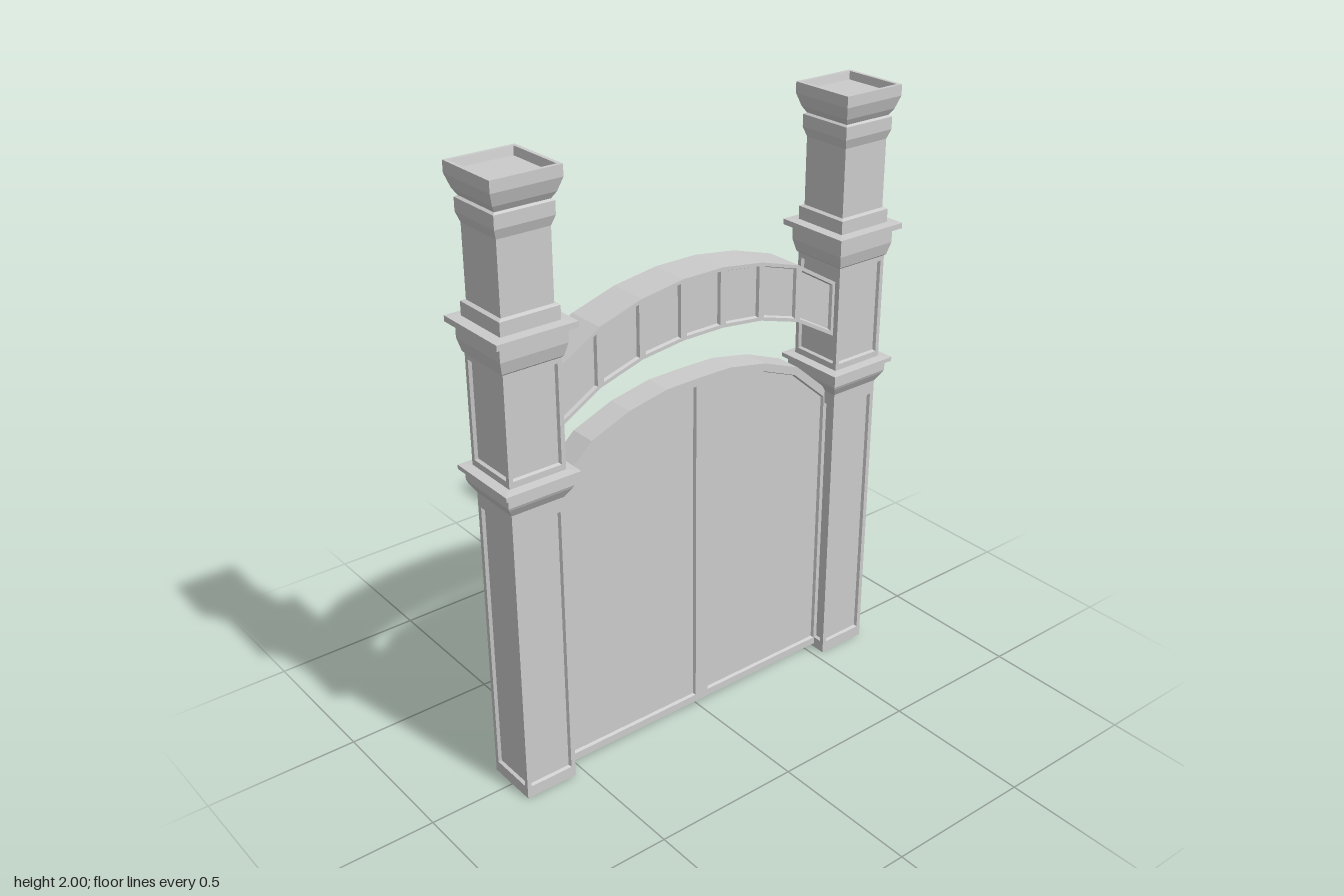
import * as THREE from 'three';

const material = new THREE.MeshStandardMaterial({ color: 0xcccccc, flatShading: true });

function addMesh(parent, geometry, name) {
  const mesh = new THREE.Mesh(geometry, material);
  mesh.name = name;
  parent.add(mesh);
  return mesh;
}

// Skin over loops of equal point count, ordered back to front, counter-clockwise from +z
function loft(loops, capStart) {
  const v = [];
  const n = loops[0].length;
  const tri = (...points) => points.forEach((p) => v.push(...p));
  const centre = (loop) => [0, 1, 2].map((k) => loop.reduce((s, p) => s + p[k], 0) / n);
  const first = loops[0], last = loops[loops.length - 1];
  for (let j = 0; j < n; j++) {
    const k = (j + 1) % n;
    for (let i = 0; i + 1 < loops.length; i++) {
      const a = loops[i], b = loops[i + 1];
      tri(a[j], a[k], b[k]);
      tri(a[j], b[k], b[j]);
    }
    if (capStart) tri(centre(first), first[k], first[j]);
    tri(centre(last), last[j], last[k]);
  }
  const g = new THREE.BufferGeometry();
  g.setAttribute('position', new THREE.Float32BufferAttribute(v, 3));
  g.computeVertexNormals();
  return g;
}

// Shrink a convex counter-clockwise outline by w
function inset(points, w) {
  const n = points.length;
  const normal = (a, b) => {
    const l = Math.hypot(b[0] - a[0], b[1] - a[1]);
    return [(a[1] - b[1]) / l, (b[0] - a[0]) / l];
  };
  return points.map((p, i) => {
    const m = normal(points[(i + n - 1) % n], p);
    const q = normal(p, points[(i + 1) % n]);
    const s = w / (1 + m[0] * q[0] + m[1] * q[1]);
    return [p[0] + (m[0] + q[0]) * s, p[1] + (m[1] + q[1]) * s];
  });
}

const atZ = (points, z) => points.map(([x, y]) => [x, y, z]);

// Loops of a frame at depth z around a panel sunk to zDeep
function frameLoops(outline, border, z, zDeep) {
  return [atZ(outline, z), atZ(inset(outline, border), z), atZ(inset(outline, border + 0.004), zDeep)];
}

// Slab with a sunk panel on the front and, if wanted, on the back
function panelSlab(outline, border, half, depth, panelBack) {
  const front = frameLoops(outline, border, half, half - depth);
  const back = panelBack ? frameLoops(outline, border, -half, -half + depth).reverse() : [atZ(outline, -half)];
  return loft([...back, ...front], true);
}

// Square mouldings from a profile of [half width, height], bottom to top
function squareLathe(profile) {
  const points = profile.map(([r, y]) => new THREE.Vector2(r * Math.SQRT2, y));
  return new THREE.LatheGeometry(points, 4, Math.PI / 4).toNonIndexed();
}

// Four sunk-panel faces of a square shaft
function addShaft(parent, half, y0, y1, bottom, top, border, name) {
  const outline = [[-half, y0], [half, y0], [half, y1], [-half, y1]];
  const hole = [[-half + border, bottom], [half - border, bottom], [half - border, top], [-half + border, top]];
  const face = loft([atZ(outline, half), atZ(hole, half), atZ(inset(hole, 0.004), half - 0.01)], false);
  for (let i = 0; i < 4; i++) addMesh(parent, face, name).rotation.y = i * Math.PI / 2;
}

function createPillar() {
  const pillar = new THREE.Group();
  addMesh(pillar, squareLathe([[0, 0], [0.09, 0]]), 'pillarFoot');
  addShaft(pillar, 0.09, 0, 1.01, 0.04, 0.965, 0.015, 'lowerShaft');
  addMesh(pillar, squareLathe([
    [0.09, 1.01], [0.108, 1.04], [0.112, 1.05], [0.112, 1.08], [0.127, 1.083], [0.127, 1.097], [0.096, 1.1],
  ]), 'lowerMoulding');
  addShaft(pillar, 0.096, 1.1, 1.45, 1.12, 1.435, 0.014, 'middleShaft');
  addMesh(pillar, squareLathe([
    [0.096, 1.45], [0.101, 1.455], [0.111, 1.495], [0.111, 1.54], [0.132, 1.542], [0.132, 1.56],
    [0.098, 1.562], [0.098, 1.605], [0.086, 1.61],
  ]), 'middleMoulding');
  addMesh(pillar, squareLathe([
    [0.086, 1.61], [0.086, 1.83], [0.096, 1.86], [0.096, 1.9], [0.088, 1.905],
  ]), 'upperShaft');
  // Cap with a sunk top
  addMesh(pillar, squareLathe([
    [0.088, 1.905], [0.1, 1.925], [0.113, 1.965], [0.113, 2], [0.101, 2], [0.096, 1.975], [0, 1.975],
  ]), 'pillarCap');
  return pillar;
}

function createArch() {
  const arch = new THREE.Group();
  arch.name = 'arch';
  arch.position.z = 0.003;
  const half = [[0.075, 1.558, 1.365], [0.227, 1.536, 1.347], [0.378, 1.49, 1.302], [0.535, 1.396, 1.212]];
  const joints = [...half.map(([x, t, b]) => [-x, t, b]).reverse(), ...half];
  for (let i = 0; i + 1 < joints.length; i++) {
    const [x0, t0, b0] = joints[i], [x1, t1, b1] = joints[i + 1];
    addMesh(arch, panelSlab([[x0, b0], [x1, b1], [x1, t1], [x0, t0]], 0.011, 0.066, 0.01, true), 'archBlock');
  }
  return arch;
}

function createDoors() {
  const doors = new THREE.Group();
  doors.name = 'doors';
  const seam = 0.018;
  // Half of the curved top, from the outer edge to the seam
  const curve = [[0.545, 1.0], [0.4, 1.128], [0.262, 1.182], [0.12, 1.21], [0, 1.212]];
  const right = [[-0.54, 0.015], [seam, 0.015], [seam, 1.212], ...curve.slice(0, 4).reverse().map(([x, y]) => [-x, y])];
  const left = [[seam, 0.015], [0.555, 0.015], ...curve.slice(0, 4).map(([x, y]) => [x + 0.01, y]), [seam, 1.212]];
  addMesh(doors, panelSlab(right, 0.026, 0.045, 0.01, false), 'rightDoor');
  addMesh(doors, panelSlab(left, 0.026, 0.045, 0.01, true), 'leftDoor');
  return doors;
}

export function createModel() {
  const gate = new THREE.Group();
  gate.name = 'gate';
  for (const side of [-1, 1]) {
    const pillar = createPillar();
    pillar.name = side > 0 ? 'leftPillar' : 'rightPillar';
    pillar.position.x = side * 0.623;
    gate.add(pillar);
  }
  gate.add(createArch(), createDoors());
  return gate;
}
